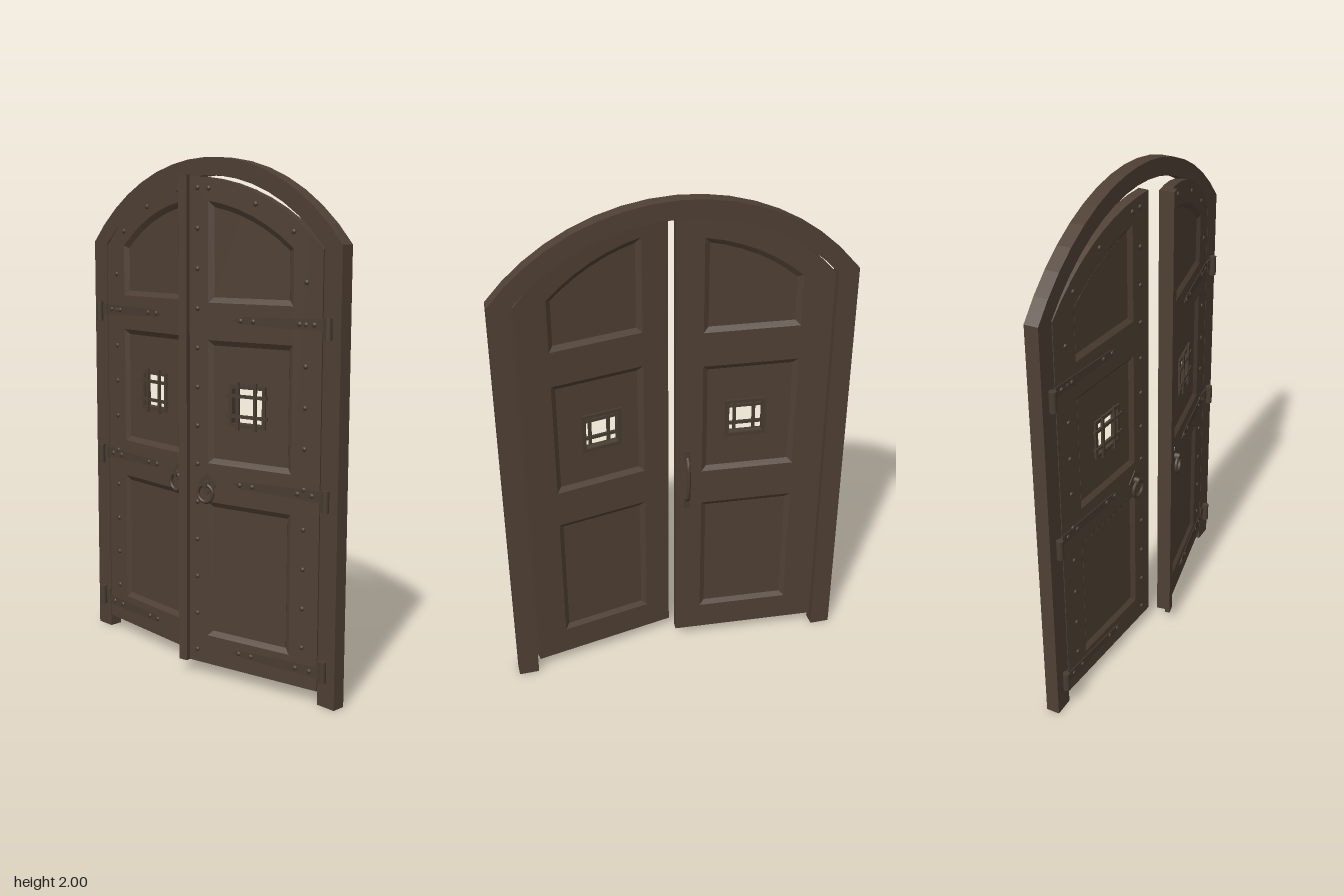
import * as THREE from 'three';

const CY = 1.12;                    // common centre height of all arches
const HINGE = { x: 0.6, z: -0.046 };
const THICK = 0.04;

const wood = new THREE.MeshStandardMaterial({ color: 0x4f4034 });
wood.name = 'dark wood';
const iron = new THREE.MeshStandardMaterial({ color: 0x483c31 });
iron.name = 'dark iron';

const archY = (r, x) => CY + Math.sqrt(r * r - x * x);

// points on an arch of radius r from x = a to x = b
function arc(r, a, b, n) {
  const pts = [];
  const t0 = Math.asin(a / r), t1 = Math.asin(b / r);
  for (let i = 0; i <= n; i++) {
    const t = t0 + (t1 - t0) * i / n;
    pts.push(new THREE.Vector2(r * Math.sin(t), CY + r * Math.cos(t)));
  }
  return pts;
}

function add(parent, name, geo, mat, x = 0, y = 0, z = 0) {
  const m = new THREE.Mesh(geo, mat);
  m.name = name;
  m.position.set(x, y, z);
  parent.add(m);
  return m;
}

const box = (parent, name, mat, w, h, d, x, y, z) =>
  add(parent, name, new THREE.BoxGeometry(w, h, d), mat, x, y, z);

function extrude(pts, depth, holes = []) {
  const shape = new THREE.Shape(pts);
  for (const h of holes) shape.holes.push(new THREE.Path(h));
  return new THREE.ExtrudeGeometry(shape, { depth, bevelEnabled: false });
}

// mirror a right-hand outline to the given side, always counter-clockwise
function sided(pts, s) {
  const out = pts.map(p => new THREE.Vector2(p.x * s, p.y));
  return THREE.ShapeUtils.isClockWise(out) ? out.reverse() : out;
}

const V = (x, y) => new THREE.Vector2(x, y);

// outline of one of the three panels, shrunk by inset i
function panelOutline(row, i) {
  const a = 0.108 + i, b = 0.476 - i;
  if (row === 2) return [V(a, 1.46 + i), V(b, 1.46 + i), ...arc(0.722 - i, a, b, 6).reverse()];
  const [y0, y1] = [[0.165, 0.70], [0.85, 1.32]][row];
  return [V(a, y0 + i), V(b, y0 + i), V(b, y1 - i), V(a, y1 - i)];
}

// sloped moulding between two loops; flip turns it to face the back
function moulding(outer, inner, zo, zi, flip) {
  const pos = [], n = outer.length;
  for (let k = 0; k < n; k++) {
    const j = (k + 1) % n;
    const A = [outer[k].x, outer[k].y, zo], B = [outer[j].x, outer[j].y, zo];
    const C = [inner[j].x, inner[j].y, zi], D = [inner[k].x, inner[k].y, zi];
    pos.push(...(flip ? [A, C, B, A, D, C] : [A, B, C, A, C, D]).flat());
  }
  const g = new THREE.BufferGeometry();
  g.setAttribute('position', new THREE.Float32BufferAttribute(pos, 3));
  g.computeVertexNormals();
  return g;
}

function addStud(parent, s, m, y, z = 0) {
  const g = new THREE.SphereGeometry(0.01, 8, 4, 0, Math.PI * 2, 0, Math.PI / 2);
  g.rotateX(Math.PI / 2).scale(1, 1, 0.7);
  add(parent, 'stud', g, iron, s * m, y, z);
}

function addWindow(parent, s) {
  const x = s * 0.28, y = 1.08;
  const sq = r => [V(-r, -r), V(r, -r), V(r, r), V(-r, r)];
  for (const z of [-0.016, -0.036]) {
    add(parent, 'windowFrame', extrude(sq(0.08), 0.012, [sq(0.066)]), iron, x, y, z);
  }
  for (const o of [-0.038, 0.038]) {
    box(parent, 'windowBar', iron, 0.012, 0.18, 0.01, x + o, y, -0.002);
    box(parent, 'windowBar', iron, 0.18, 0.012, 0.01, x, y + o, -0.004);
  }
}

function addRingPull(parent, s) {
  const x = s * 0.108, y = 0.735;
  const plate = box(parent, 'ringPlate', iron, 0.06, 0.06, 0.004, x, y + 0.035, 0.001);
  plate.rotation.z = Math.PI / 4;
  const boss = new THREE.CylinderGeometry(0.012, 0.014, 0.024, 10).rotateX(Math.PI / 2);
  add(parent, 'ringBoss', boss, iron, x, y + 0.036, 0.012);
  add(parent, 'ring', new THREE.TorusGeometry(0.034, 0.007, 8, 20), iron, x, y, 0.016);
}

// inside grip with a bowed handle
function addBackHandle(parent, s) {
  const x = s * 0.05;
  const path = new THREE.CatmullRomCurve3([
    [0.72, 0], [0.745, -0.025], [0.82, -0.036], [0.895, -0.025], [0.92, 0],
  ].map(([y, z]) => new THREE.Vector3(x, y, -THICK + z)));
  add(parent, 'backHandle', new THREE.TubeGeometry(path, 16, 0.008, 8), iron);
  for (const y of [0.71, 0.93]) {
    box(parent, 'handleFoot', iron, 0.024, 0.05, 0.008, x, y, -THICK - 0.003);
  }
}

function createDoor(s, angle) {
  const pivot = new THREE.Group();
  pivot.name = s < 0 ? 'rightDoor' : 'leftDoor';
  pivot.position.set(s * HINGE.x, 0, HINGE.z);
  pivot.rotation.y = angle;
  const door = new THREE.Group();
  door.name = 'doorLeaf';
  door.position.x = -s * HINGE.x;
  pivot.add(door);

  // slab with panel openings
  const a = 0.004, b = 0.596;
  const outline = [V(a, 0.05), V(b, 0.05), ...arc(0.806, a, b, 9).reverse()];
  const openings = [0, 1, 2].map(r => sided(panelOutline(r, 0), s));
  add(door, 'doorSlab', extrude(sided(outline, s), THICK, openings), wood, 0, 0, -THICK);

  // recessed panels with sloped edges on both faces
  const hole = sided([V(0.214, 1.014), V(0.346, 1.014), V(0.346, 1.146), V(0.214, 1.146)], s);
  openings.forEach((outer, r) => {
    const inner = sided(panelOutline(r, 0.02), s);
    add(door, 'panel', extrude(inner, 0.016, r === 1 ? [hole] : []), wood, 0, 0, -0.028);
    add(door, 'panelMoulding', moulding(outer, inner, 0, -0.013, false), wood);
    add(door, 'panelMoulding', moulding(outer, inner, -THICK, -0.027, true), wood);
  });

  addWindow(door, s);
  addRingPull(door, s);

  // hinge straps
  for (const y of [1.398, 0.783, 0.122]) {
    const strap = [V(0.606, y - 0.022), V(0.606, y + 0.022), V(0.26, y + 0.014),
      V(0.225, y), V(0.26, y - 0.014)];
    add(door, 'hingeStrap', extrude(sided(strap, s), 0.003), iron);
    for (const m of [0.565, 0.505, 0.31, 0.255]) addStud(door, s, m, y, 0.002);
  }

  // rows of studs along the stiles and the arch
  for (let i = 0; i < 13; i++) addStud(door, s, 0.06, 0.1 + i * 0.1485);
  for (let i = 0; i < 10; i++) addStud(door, s, 0.53, 0.205 + i * 0.149);
  for (const m of [0.475, 0.315, 0.11]) addStud(door, s, m, archY(0.767, m));
  return { pivot, door };
}

export function createModel() {
  const model = new THREE.Group();
  model.name = 'archedDoubleDoor';

  // arched surround
  const surround = [V(-0.68, 0), ...arc(0.88, -0.68, 0.68, 16), V(0.68, 0),
    V(0.6, 0), ...arc(0.812, 0.6, -0.6, 16), V(-0.6, 0)];
  add(model, 'doorFrame', extrude(surround, 0.054), wood, 0, 0, -0.1);

  // slightly open right leaf and wider open left leaf
  const right = createDoor(-1, -0.075);
  const left = createDoor(1, 0.2);
  addBackHandle(right.door, -1);
  box(left.door, 'meetingStrip', wood, 0.038, 1.88, 0.02, 0.005, 0.99, 0.01);
  model.add(right.pivot, left.pivot);

  // hinge knuckles on the surround
  for (const s of [-1, 1]) {
    for (const y of [1.388, 0.773, 0.138]) {
      add(model, 'hingePin', new THREE.CylinderGeometry(0.014, 0.014, 0.08, 10), iron,
        s * 0.634, y, -0.033);
      box(model, 'hingeLeaf', iron, 0.034, 0.044, 0.006, s * 0.614, y + 0.008, -0.042);
    }
  }
  return model;
}
